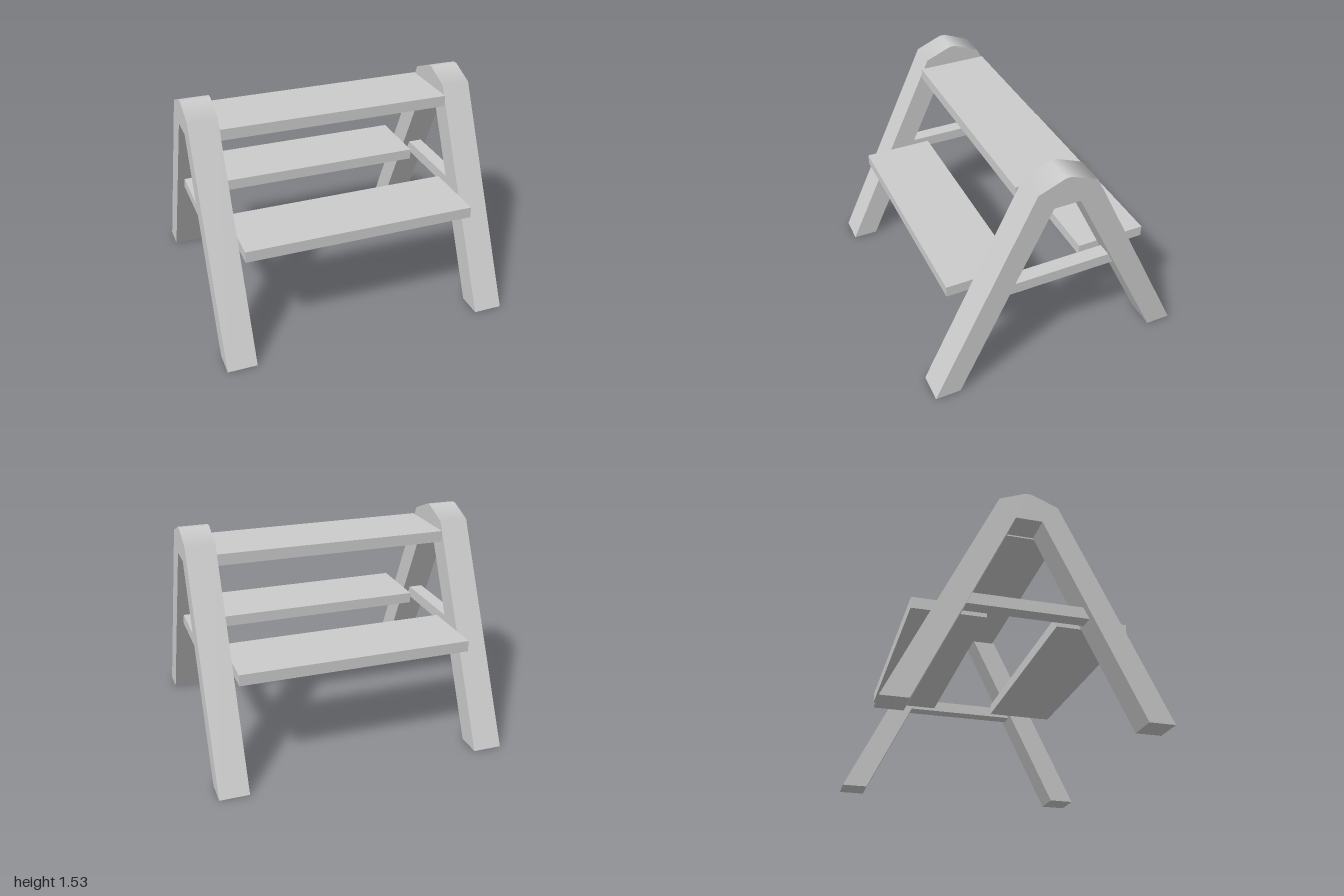
import * as THREE from 'three';
import { toCreasedNormals } from 'three/addons/utils/BufferGeometryUtils.js';

const grey = new THREE.MeshStandardMaterial({ color: 0xcccccc });

// A-shaped end frame, drawn in (z, y) and extruded along x
function frameGeometry() {
  const half = [[0.02, 1.528], [0.2, 1.455], [0.905, 0], [0.73, 0], [0.09, 1.327]];
  const mirrored = half.map(([z, y]) => [-z, y]).reverse();
  const shape = new THREE.Shape([...half, ...mirrored].map(([z, y]) => new THREE.Vector2(z, y)));
  let geo = new THREE.ExtrudeGeometry(shape, { depth: 0.2, bevelEnabled: false });
  geo.translate(0, 0, -0.1);
  geo.rotateY(-Math.PI / 2);
  geo = toCreasedNormals(geo, 0.75);

  // Blend the cap into the legs: shoulder edges take the leg's outer normal
  const p = geo.attributes.position, n = geo.attributes.normal;
  const leg = new THREE.Vector2(1.455, 0.705).normalize();
  for (let i = 0; i < p.count; i++) {
    const atShoulder = Math.abs(p.getY(i) - 1.455) < 0.001;
    if (atShoulder && Math.abs(n.getX(i)) < 0.5) {
      n.setXYZ(i, 0, leg.y, leg.x * Math.sign(p.getZ(i)));
    }
  }
  return geo;
}

export function createModel() {
  const model = new THREE.Group();
  model.name = 'stepBench';

  const add = (name, geo, x, y, z) => {
    const mesh = new THREE.Mesh(geo, grey);
    mesh.name = name;
    mesh.position.set(x, y, z);
    model.add(mesh);
  };

  // End frames with a rail joining the legs of each
  const frame = frameGeometry();
  const rail = new THREE.BoxGeometry(0.1, 0.078, 0.8);
  for (const [side, s] of [['left', 1], ['right', -1]]) {
    add(side + 'Frame', frame, s * 0.9, 0, 0);
    add(side + 'Rail', rail, s * 0.9, 0.72, 0);
  }

  // Three equal planks spanning the frames
  const plank = new THREE.BoxGeometry(1.596, 0.077, 0.486);
  add('topPlank', plank, 0, 1.357, 0.007);
  add('frontStep', plank, 0, 0.72, 0.479);
  add('backStep', plank, 0, 0.72, -0.473);

  return model;
}
